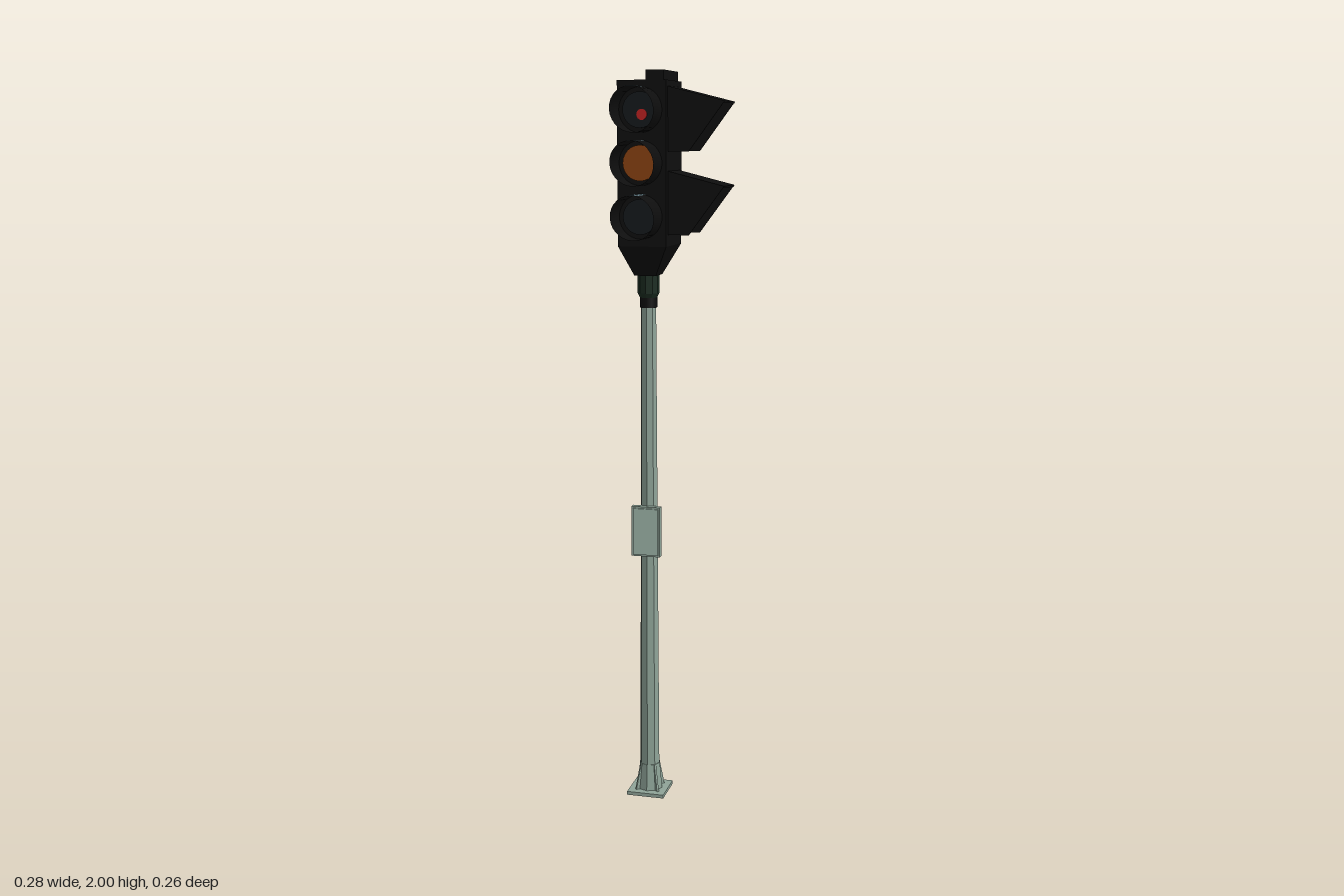
import * as THREE from 'three';

const mat = (name, color, double = false) => {
  const m = new THREE.MeshStandardMaterial({ color });
  m.name = name;
  if (double) m.side = THREE.DoubleSide;
  return m;
};

export function createModel() {
  const black = mat('housing black', 0x0e0e0e, true);
  const lensDark = mat('unlit lens', 0x15191c);
  const amber = mat('amber lens', 0x8a4212);
  const red = mat('signal red', 0xbe2222);
  const green = mat('collar green', 0x1b2c21);
  const steel = mat('pale green steel', 0x8fa498);
  const slate = mat('slate steel', 0x637d86, true);
  const pale = mat('cabinet green', 0xa0b8ac);

  const model = new THREE.Group();
  const add = (name, geo, material, x = 0, y = 0, z = 0, parent = model) => {
    const mesh = new THREE.Mesh(geo, material);
    mesh.name = name;
    mesh.position.set(x, y, z);
    parent.add(mesh);
    return mesh;
  };
  const box = (w, h, d) => new THREE.BoxGeometry(w, h, d);
  const flat = (geo) => {
    const g = geo.toNonIndexed();
    g.computeVertexNormals();
    return g;
  };
  const PX = -0.079, PZ = -0.046; // pole axis

  // Base plate, flared foot and gussets
  add('basePlate', box(0.106, 0.01, 0.106), steel, PX, 0.005, PZ);
  add('foot', flat(new THREE.CylinderGeometry(0.029, 0.036, 0.075, 8)), steel, PX, 0.0475, PZ);
  const gusset = new THREE.Shape([[0.02, 0], [0.046, 0], [0.03, 0.075], [0.02, 0.075]]
    .map(([x, y]) => new THREE.Vector2(x, y)));
  for (let i = 0; i < 4; i++) {
    const geo = new THREE.ExtrudeGeometry(gusset, { depth: 0.006, bevelEnabled: false });
    geo.translate(0, 0, -0.003);
    add('gusset', geo, steel, PX, 0.01, PZ).rotation.y = Math.PI / 4 + i * Math.PI / 2;
  }

  // Tapered eight-sided pole, with slate faces toward the back left corner
  const poleArc = (sides, start) => flat(new THREE.CylinderGeometry(
    0.021, 0.028, 1.4, sides, 1, true, start, sides * Math.PI / 4));
  add('poleSlateFaces', poleArc(2, Math.PI / 2), slate, PX, 0.71, PZ);
  add('poleFaces', poleArc(6, Math.PI), steel, PX, 0.71, PZ);

  // Collar between pole and head
  add('collar', flat(new THREE.CylinderGeometry(0.029, 0.029, 0.05, 10)), green, PX, 1.447, PZ);
  add('collarTaper', flat(new THREE.CylinderGeometry(0.029, 0.022, 0.015, 10)), green, PX, 1.4145, PZ);
  add('collarNeck', new THREE.CylinderGeometry(0.0235, 0.0235, 0.03, 10), black, PX, 1.398, PZ);

  // Control cabinet on the pole
  add('cabinet', box(0.08, 0.14, 0.018), steel, PX, 0.77, -0.017);
  add('cabinetDoor', box(0.07, 0.13, 0.005), pale, PX, 0.77, -0.0065);

  // Signal head with tapered lower end
  const HX = -0.0755, HZ = -0.05;
  add('head', box(0.131, 0.425, 0.16), black, HX, 1.7625, HZ);
  const taper = box(0.131, 0.08, 0.16);
  const p = taper.attributes.position;
  for (let i = 0; i < p.count; i++) {
    if (p.getY(i) < 0) {
      p.setX(i, p.getX(i) * 0.45 + PX - HX);
      p.setZ(i, p.getZ(i) * 0.42 + PZ - HZ);
    }
  }
  taper.computeVertexNormals();
  add('headTaper', taper, black, HX, 1.51, HZ);
  add('topCap', box(0.048, 0.025, 0.145), black, -0.041, 1.9875, -0.046);

  // Round lamps with slanted tubular visors
  const visor = (radius, sides, start, length) => {
    const g = new THREE.CylinderGeometry(radius, radius, 1, sides, 1, true, start, length);
    g.rotateX(Math.PI / 2);
    const v = g.attributes.position;
    for (let i = 0; i < v.count; i++) {
      v.setZ(i, v.getZ(i) > 0 ? 0.116 + 0.2 * v.getY(i) : 0.028);
    }
    g.computeVertexNormals();
    return g;
  };
  const disc = (r, depth) => new THREE.CylinderGeometry(r, r, depth, 24).rotateX(Math.PI / 2);
  const VX = -0.0785;
  [1.9, 1.765, 1.627].forEach((y, i) => {
    const lamp = new THREE.Group();
    lamp.name = ['topLamp', 'middleLamp', 'bottomLamp'][i];
    lamp.position.set(VX, y, 0);
    model.add(lamp);
    add('visor', visor(0.058, 28, 0, Math.PI * 2), black, 0, 0, 0, lamp);
    add('visorTopStrip', visor(0.0588, 4, Math.PI - 0.26, 0.52), slate, 0, 0, 0, lamp);
    add('lens', disc(0.046, 0.008), i === 1 ? amber : lensDark, 0, 0, 0.033, lamp);
    if (i === 0) add('lensGlow', disc(0.014, 0.003), red, 0.006, -0.012, 0.038, lamp);
  });

  // Side pedestrian signals under open box hoods
  const slab = (pts, depth) => new THREE.ExtrudeGeometry(
    new THREE.Shape(pts.map(([x, y]) => new THREE.Vector2(x, y))),
    { depth, bevelEnabled: false });
  [1.96, 1.745].forEach((top, i) => {
    const hood = new THREE.Group();
    hood.name = i === 0 ? 'upperSideSignal' : 'lowerSideSignal';
    hood.position.set(0, top, 0);
    model.add(hood);
    const side = [[-0.012, 0], [0.14, -0.038], [0.046, -0.165], [-0.012, -0.165]];
    for (const z of [-0.112, 0.008]) add('hoodSide', slab(side, 0.004), black, 0, 0, z, hood);
    add('hoodTop', slab([[-0.012, 0], [-0.012, -0.005], [0.138, -0.043], [0.14, -0.038]], 0.124),
      black, 0, 0, -0.112, hood);
    add('signalFace', box(0.008, 0.155, 0.116), lensDark, -0.008, -0.085, -0.05, hood);
  });

  // Standing figure on the upper side signal
  add('figureHead', new THREE.CylinderGeometry(0.014, 0.014, 0.004, 16).rotateZ(Math.PI / 2),
    red, -0.003, 1.903, PZ);
  add('figureBody', box(0.004, 0.036, 0.048), red, -0.003, 1.875, PZ);
  for (const s of [-1, 1]) add('figureLeg', box(0.004, 0.044, 0.015), red, -0.003, 1.84, PZ + s * 0.009);

  return model;
}
